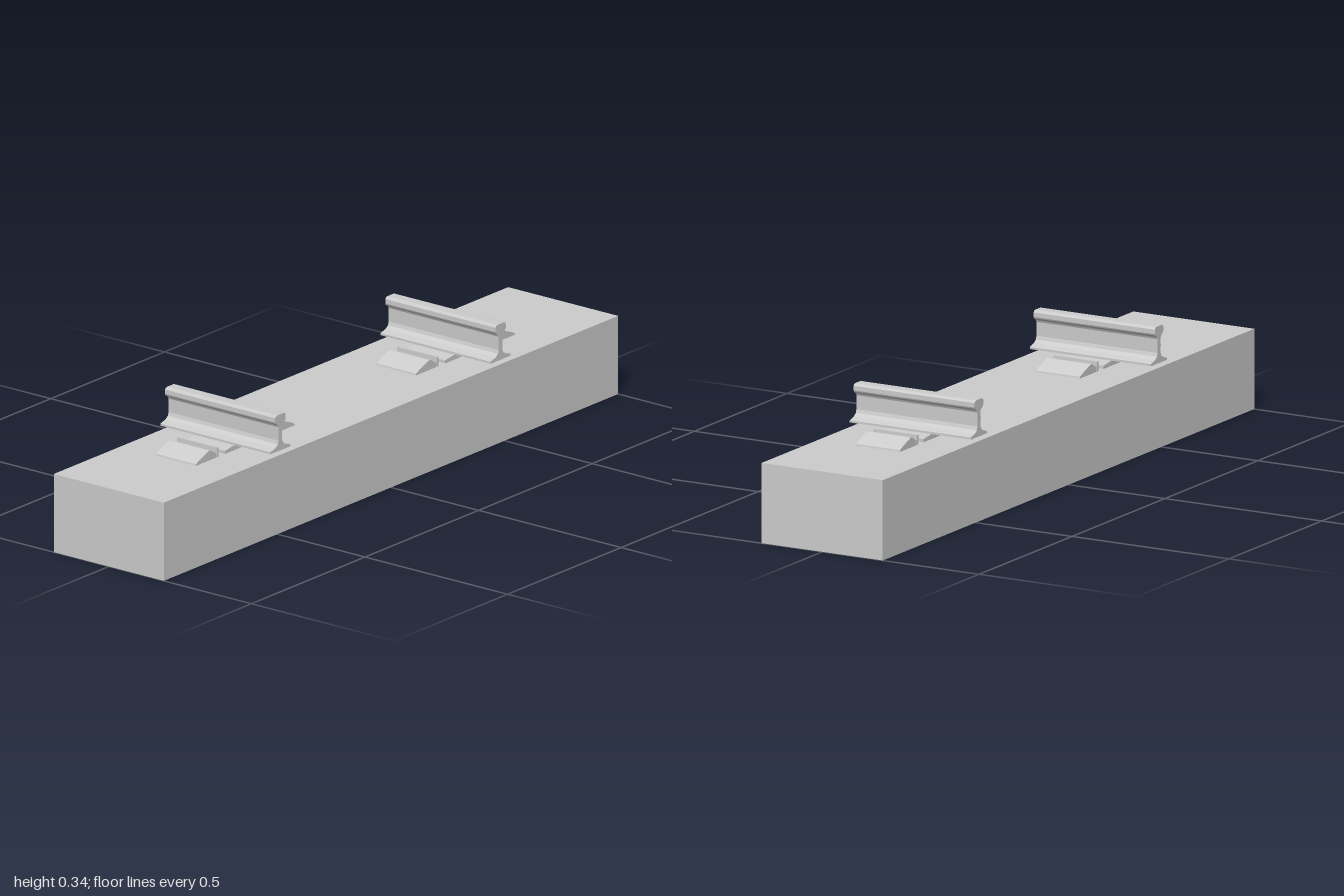
import * as THREE from 'three';

const grey = new THREE.MeshStandardMaterial({ color: 0xcccccc, flatShading: true, side: THREE.DoubleSide });
grey.name = 'concrete grey';

const DECK = 0.227;      // top of the sleeper
const HALF_DEPTH = 0.193;
const CLIP_HALF = 0.07;

// Extrudes an x/y outline along z, centred on z = 0
function profile(name, points, halfDepth) {
  const shape = new THREE.Shape(points.map(([x, y]) => new THREE.Vector2(x, y)));
  const geometry = new THREE.ExtrudeGeometry(shape, { depth: halfDepth * 2, bevelEnabled: false });
  geometry.translate(0, 0, -halfDepth);
  const mesh = new THREE.Mesh(geometry, grey);
  mesh.name = name;
  return mesh;
}

// Closes a right-hand outline with its mirror image
const mirrored = (half) => [...half, ...half.map(([x, y]) => [-x, y]).reverse()];
const flip = (points) => points.map(([x, y]) => [-x, y]).reverse();

// Sleeper: a hollow box, open underneath
function createSleeper() {
  const geometry = new THREE.BoxGeometry(2, DECK, HALF_DEPTH * 2);
  geometry.translate(0, DECK / 2, 0);
  const index = Array.from(geometry.index.array);
  index.splice(18, 6); // drop the bottom face
  geometry.setIndex(index);
  geometry.clearGroups();
  const mesh = new THREE.Mesh(geometry, grey);
  mesh.name = 'sleeper';
  return mesh;
}

function createRailAssembly(name) {
  const group = new THREE.Group();
  group.name = name;

  // Rail: flat foot, thin web, rounded head
  group.add(profile('rail', mirrored([
    [0.044, 0.24], [0.044, 0.246], [0.022, 0.252], [0.011, 0.26], [0.008, 0.27],
    [0.008, 0.309], [0.011, 0.315], [0.021, 0.322], [0.023, 0.326],
    [0.023, 0.339], [0.02, 0.343], [0.014, 0.345],
  ]), HALF_DEPTH));

  // Base plate under the rail
  group.add(profile('basePlate', mirrored([
    [0.09, DECK], [0.09, 0.236], [0.052, 0.241], [0.046, 0.241], [0.044, 0.24],
  ]), CLIP_HALF));

  // Shoulder wedge and upright lip on each side
  const wedge = [
    [0.128, DECK], [0.218, DECK], [0.217, 0.232], [0.205, 0.238],
    [0.16, 0.255], [0.154, 0.255], [0.128, 0.239],
  ];
  const lip = [[0.118, DECK], [0.126, DECK], [0.125, 0.255], [0.119, 0.255]];
  for (const [side, outline] of [['left', (p) => p], ['right', flip]]) {
    group.add(profile(side + 'Shoulder', outline(wedge), CLIP_HALF));
    group.add(profile(side + 'Lip', outline(lip), CLIP_HALF));
  }
  return group;
}

export function createModel() {
  const model = new THREE.Group();
  model.name = 'railwaySleeper';
  model.add(createSleeper());
  for (const [name, x] of [['leftRail', 0.482], ['rightRail', -0.487]]) {
    const assembly = createRailAssembly(name);
    assembly.position.x = x;
    model.add(assembly);
  }
  return model;
}
